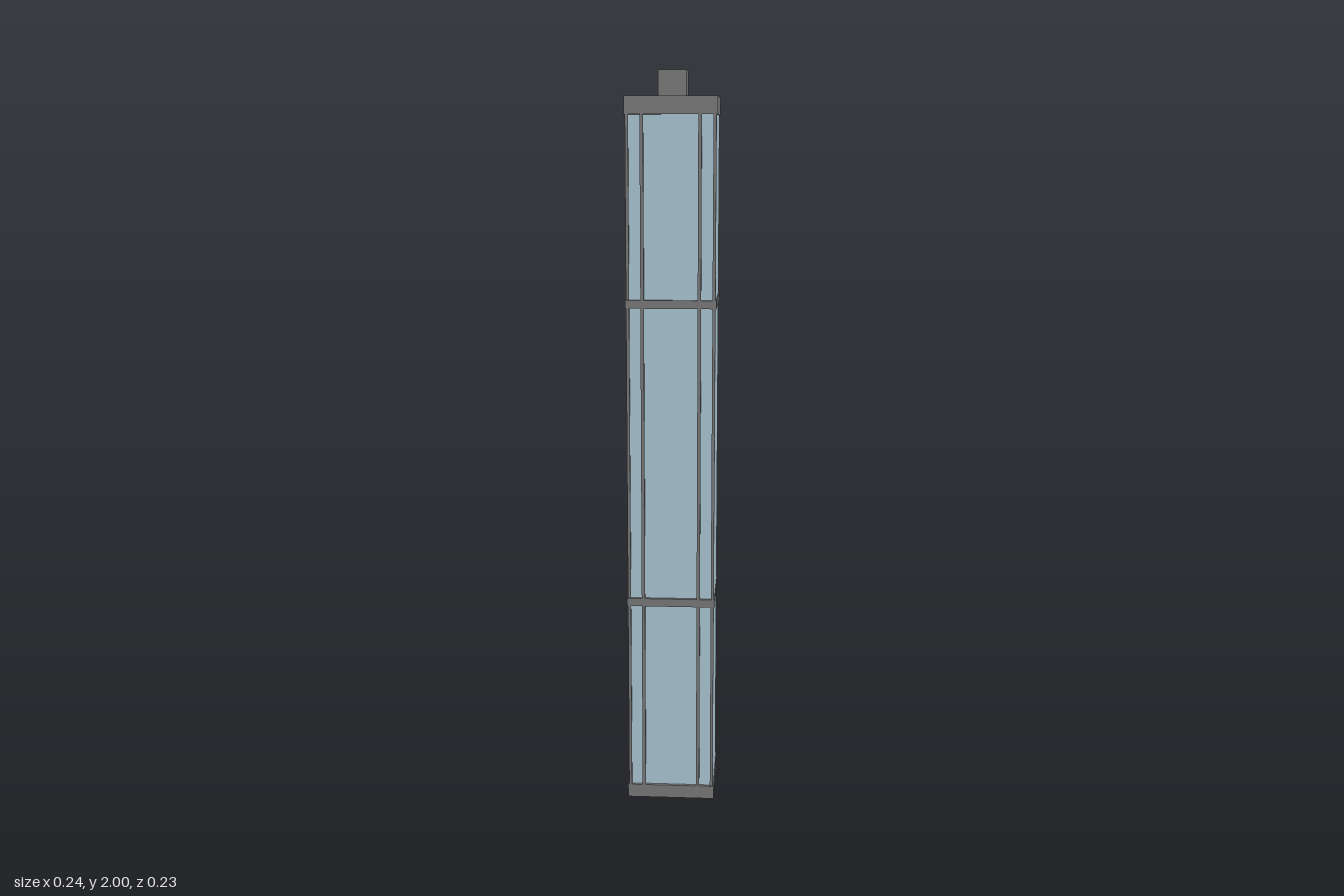
import * as THREE from 'three';

export function createModel() {
  const tower = new THREE.Group();
  tower.name = 'tower';
  const frame = new THREE.MeshStandardMaterial({ color: 0x777777 });
  const glass = new THREE.MeshStandardMaterial({ color: 0xa9c4d2 });

  // Box given by its size, its centre in x and z, and its bottom and top heights
  function block(name, material, w, d, y0, y1, x = 0, z = 0) {
    const mesh = new THREE.Mesh(new THREE.BoxGeometry(w, y1 - y0, d), material);
    mesh.position.set(x, (y0 + y1) / 2, z);
    mesh.name = name;
    tower.add(mesh);
  }

  const W = 0.242, D = 0.232;

  // Base and glazed body
  block('base', frame, W, D, 0, 0.037);
  block('glassCore', glass, 0.228, 0.214, 0.037, 1.89);

  // Floor bands, thicker on the front and back than on the sides
  for (const y of [0.577, 1.398]) {
    block('sideBand', frame, W, 0.226, y - 0.008, y + 0.008);
    block('frontBackBand', frame, W - 0.002, D, y - 0.011, y + 0.011);
  }

  // Roof slab with its raised parapet
  block('roof', frame, W - 0.004, D - 0.004, 1.886, 1.906);
  for (const s of [-1, 1]) {
    block('sideParapet', frame, 0.011, D, 1.886, 1.932, s * (W / 2 - 0.0055));
    block('endParapet', frame, W - 0.022, 0.008, 1.886, 1.932, 0, s * (D / 2 - 0.004));

    // Side glazing, corner posts and the fins that continue over the roof
    block('sideGlass', glass, 0.006, 0.224, 0.037, 1.887, s * 0.115);
    block('roofFin', frame, 0.009, D - 0.016, 1.9, 1.93, s * 0.0755);
    for (const t of [-1, 1]) {
      block('cornerPost', frame, 0.008, 0.01, 0.037, 1.887, s * 0.114, t * 0.109);
      block('facadeFin', frame, 0.009, 0.012, 0.037, 1.887, s * 0.0755, t * 0.109);
    }
  }

  // Rooftop plant room
  block('rooftopBox', frame, 0.075, 0.095, 1.9, 2.0);
  return tower;
}
